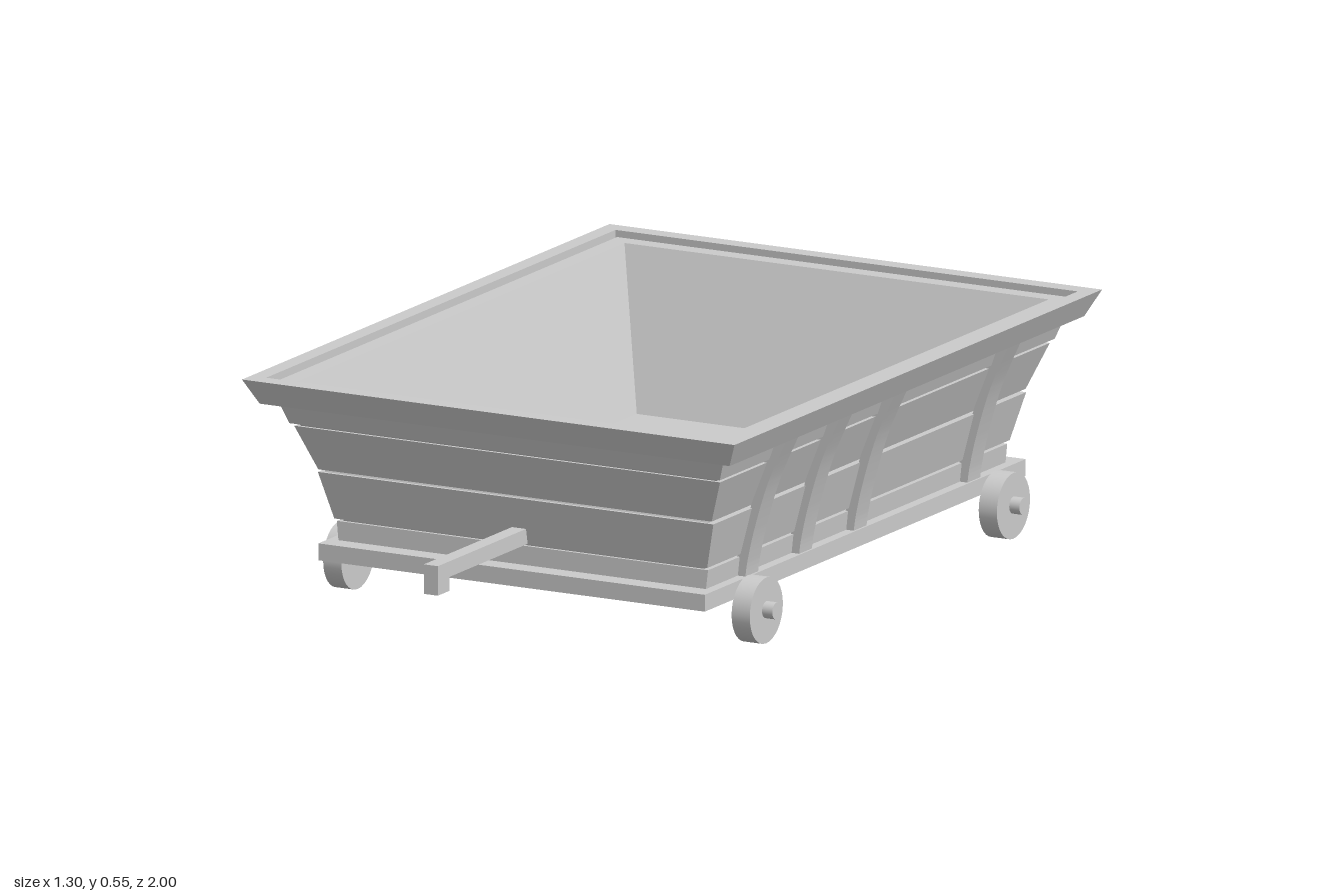
import * as THREE from 'three';
import { toCreasedNormals } from 'three/addons/utils/BufferGeometryUtils.js';

const MID_Z = -0.135; // centre of the cart body along z
const material = new THREE.MeshStandardMaterial({ color: 0xcccccc });

// Rectangular "lathe": each profile point is [half width, half length, height]
function rectLoft(profile) {
  const corners = [[1, 1], [1, -1], [-1, -1], [-1, 1]];
  const point = (i, k) => {
    const [hx, hz, y] = profile[i];
    const [sx, sz] = corners[k % 4];
    return [sx * hx, y, sz * hz];
  };
  const pos = [];
  for (let i = 0; i < profile.length - 1; i++) {
    for (let k = 0; k < 4; k++) {
      const a = point(i, k), b = point(i, k + 1), c = point(i + 1, k + 1), d = point(i + 1, k);
      pos.push(...a, ...b, ...c, ...a, ...c, ...d);
    }
  }
  const geo = new THREE.BufferGeometry();
  geo.setAttribute('position', new THREE.Float32BufferAttribute(pos, 3));
  geo.computeVertexNormals();
  return geo;
}

// Curved brace: concave outer edge, back edge sunk into the planks
function strapGeometry(width) {
  const V = (x, y) => new THREE.Vector2(x, y);
  const shape = new THREE.Shape();
  shape.moveTo(0.505, 0.15);
  shape.splineThru([V(0.511, 0.19), V(0.53, 0.27), V(0.565, 0.38), V(0.615, 0.49)]);
  shape.lineTo(0.57, 0.49);
  shape.lineTo(0.47, 0.15);
  const geo = new THREE.ExtrudeGeometry(shape, { depth: width, bevelEnabled: false, curveSegments: 12 });
  geo.translate(0, 0, -width / 2);
  return toCreasedNormals(geo, 0.5);
}

export function createModel() {
  const model = new THREE.Group();
  model.name = 'cart';
  const add = (name, geo, x = 0, y = 0, z = 0, parent = model) => {
    const mesh = new THREE.Mesh(geo, material);
    mesh.name = name;
    mesh.position.set(x, y, z);
    parent.add(mesh);
    return mesh;
  };

  // Base slab
  add('base', new THREE.BoxGeometry(1.02, 0.04, 1.51), 0, 0.13, MID_Z);

  // Planked tub: flaring planks parted by narrow grooves, then the inner walls
  const planks = [
    [0.485, 0.15, 0.49, 0.195],
    [0.492, 0.202, 0.522, 0.314],
    [0.519, 0.321, 0.562, 0.427],
    [0.568, 0.435, 0.603, 0.53],
  ];
  const profile = [];
  planks.forEach(([x0, y0, x1, y1], i) => {
    if (i > 0) profile.push([x0 - 0.014, x0 + 0.206, y0]);
    profile.push([x0, x0 + 0.22, y0], [x1, x1 + 0.214, y1]);
    if (i < 3) profile.push([x1 - 0.014, x1 + 0.206, y1]);
  });
  profile.push([0.56, 0.775, 0.53], [0.435, 0.61, 0.175], [0, 0, 0.175]);
  add('tub', rectLoft(profile), 0, 0, MID_Z);

  // Rim around the top
  add('rim', rectLoft([
    [0.57, 0.785, 0.485], [0.62, 0.835, 0.485], [0.65, 0.865, 0.545],
    [0.61, 0.822, 0.545], [0.61, 0.822, 0.52],
  ]), 0, 0, MID_Z);

  // Braces on both sides and on the back
  const strap = strapGeometry(0.06);
  for (const z of [0.39, 0.137, -0.12, -0.655]) {
    add('leftStrap', strap, 0, 0, z);
    add('rightStrap', strap, 0, 0, z).rotation.y = Math.PI;
  }
  for (const x of [-0.4, 0.4]) {
    add('backStrap', strap, x, 0, MID_Z - 0.215).rotation.y = Math.PI / 2;
  }

  // Wheels with protruding hubs
  const tyre = new THREE.CylinderGeometry(0.078, 0.078, 0.048, 32).rotateZ(Math.PI / 2);
  const hub = new THREE.CylinderGeometry(0.02, 0.02, 0.09, 20).rotateZ(Math.PI / 2);
  for (const side of [-1, 1]) {
    for (const z of [0.425, -0.738]) {
      const wheel = new THREE.Group();
      wheel.name = 'wheel';
      wheel.position.set(side * 0.539, 0.078, z);
      add('tyre', tyre, 0, 0, 0, wheel);
      add('hub', hub, side * 0.006, 0.002, 0, wheel);
      model.add(wheel);
    }
  }

  // Drawbar with its downturned end
  add('drawbar', new THREE.BoxGeometry(0.037, 0.037, 0.45), 0, 0.2215, 0.775);
  add('drawbarHook', new THREE.BoxGeometry(0.037, 0.07, 0.055), 0, 0.205, 0.9725);

  return model;
}
